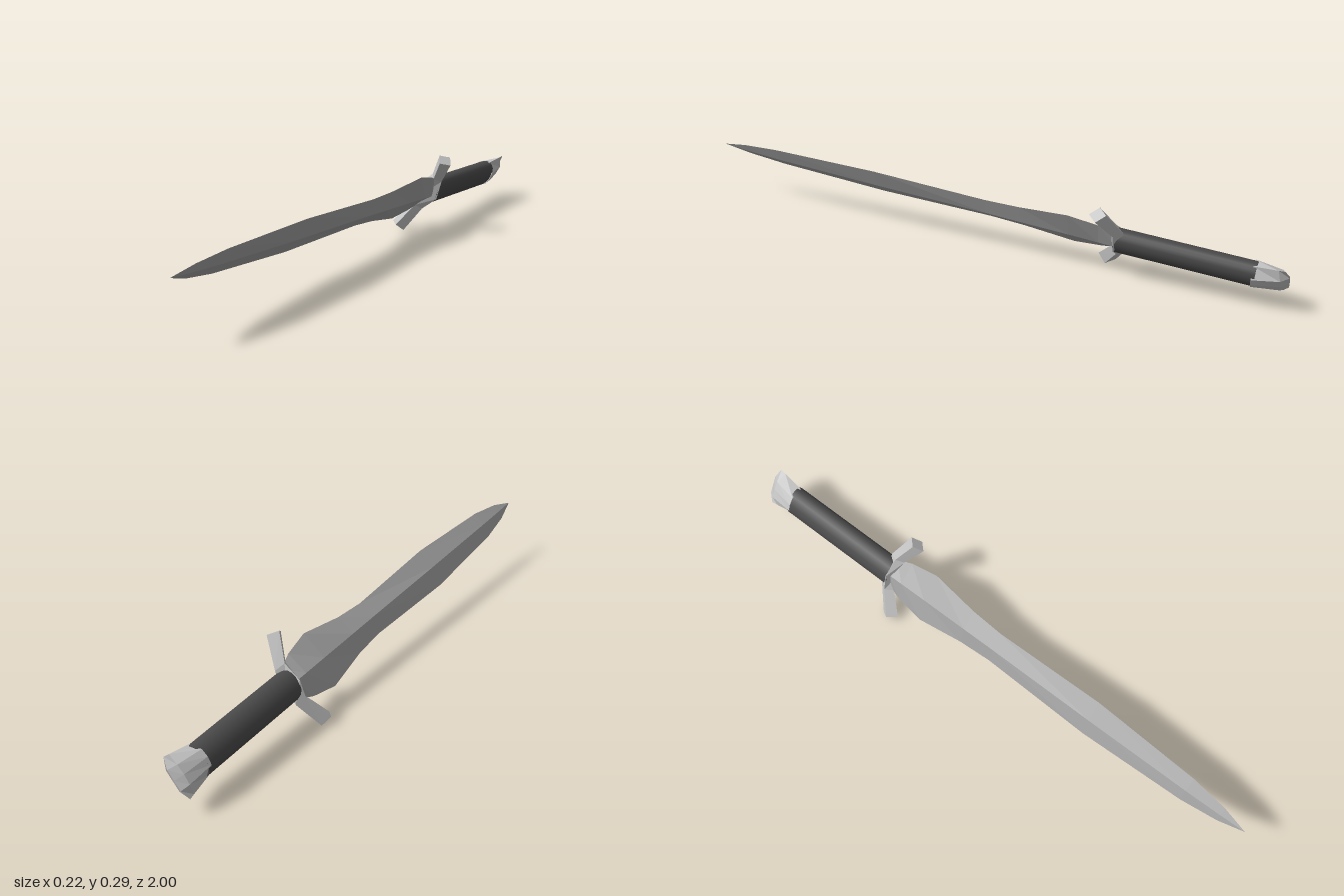
import * as THREE from 'three';

const steel = new THREE.MeshStandardMaterial({ color: 0xa4a4a4 });
steel.name = 'blade steel';
const silver = new THREE.MeshStandardMaterial({ color: 0xc2c2c2 });
silver.name = 'fittings silver';
const leather = new THREE.MeshStandardMaterial({ color: 0x4a4a4a });
leather.name = 'dark grip';

// Flat-shaded skin over rings of equal point count, closed at both ends
function loft(rings) {
  const pos = [];
  const tri = (a, b, c) => {
    const n = new THREE.Vector3().subVectors(b, a).cross(new THREE.Vector3().subVectors(c, a));
    if (n.length() > 1e-9) for (const p of [a, b, c]) pos.push(p.x, p.y, p.z);
  };
  const n = rings[0].length;
  for (let i = 0; i + 1 < rings.length; i++) {
    for (let j = 0; j < n; j++) {
      const k = (j + 1) % n;
      tri(rings[i][j], rings[i][k], rings[i + 1][k]);
      tri(rings[i][j], rings[i + 1][k], rings[i + 1][j]);
    }
  }
  const first = rings[0], last = rings[rings.length - 1];
  for (let j = 1; j + 1 < n; j++) {
    tri(first[0], first[j + 1], first[j]);
    tri(last[0], last[j], last[j + 1]);
  }
  const geo = new THREE.BufferGeometry();
  geo.setAttribute('position', new THREE.Float32BufferAttribute(pos, 3));
  geo.computeVertexNormals();
  return geo;
}

const V = (x, y, z) => new THREE.Vector3(x, y, z);

export function createModel() {
  const model = new THREE.Group();
  const sword = new THREE.Group();
  sword.name = 'sword';
  model.add(sword);
  const add = (name, geo, mat) => {
    const mesh = new THREE.Mesh(geo, mat);
    mesh.name = name;
    sword.add(mesh);
  };

  // Local frame: x = blade width, y = blade thickness, z = towards the tip
  // Leaf-shaped blade with a diamond section: [z, half width, half thickness]
  const blade = [
    [-0.445, 0.055, 0.026], [-0.39, 0.078, 0.025], [-0.29, 0.098, 0.023],
    [-0.12, 0.069, 0.021], [0, 0.06, 0.019], [0.4, 0.071, 0.017],
    [0.78, 0.05, 0.011], [0.91, 0.029, 0.006], [1, 0, 0],
  ];
  add('blade', loft(blade.map(([z, w, t]) => [V(w, 0, z), V(0, t, z), V(-w, 0, z), V(0, -t, z)])), steel);

  // Swept guard with a diamond section: [inner x, inner z, outer x, outer z, ridge x, ridge z, half thickness]
  const arm = [
    [0, -0.425, 0, -0.47, 0, -0.445, 0.044],
    [0.062, -0.418, 0.062, -0.473, 0.066, -0.443, 0.022],
    [0.148, -0.368, 0.166, -0.426, 0.157, -0.397, 0.027],
  ];
  const guardRing = (s) => ([ix, iz, ox, oz, rx, rz, t]) =>
    [V(s * rx, t, rz), V(s * ix, 0, iz), V(s * rx, -t, rz), V(s * ox, 0, oz)];
  const left = arm.map(guardRing(1));
  const right = arm.slice(1).map(guardRing(-1)).reverse();
  add('guard', loft([...right, ...left]), silver);

  // Oval grip
  const grip = new THREE.CylinderGeometry(1, 1, 0.455, 20);
  grip.rotateX(Math.PI / 2);
  grip.scale(0.052, 0.038, 1);
  grip.translate(0, 0, -0.67);
  add('grip', grip, leather);

  // Flared pommel narrowing to a bowed wedge: [corner z, middle z, half width, half thickness]
  const pommel = [
    [-0.985, -1, 0.071, 0.003], [-0.965, -0.975, 0.067, 0.024], [-0.887, -0.887, 0.053, 0.041],
  ];
  add('pommel', loft(pommel.map(([cz, mz, w, t]) => [
    V(w, 0, cz), V(w * 0.5, t * 0.88, mz), V(0, t, mz), V(-w * 0.5, t * 0.88, mz),
    V(-w, 0, cz), V(-w * 0.5, -t * 0.88, mz), V(0, -t, mz), V(w * 0.5, -t * 0.88, mz),
  ])), silver);

  // Resting pose: slightly rising and rolled about its length
  const axis = V(0.0375, 0.048, 1).normalize();
  const thick = axis.clone().cross(V(0.57, 0.82, 0)).normalize();
  const width = thick.clone().cross(axis);
  sword.quaternion.setFromRotationMatrix(new THREE.Matrix4().makeBasis(width, thick, axis));
  sword.updateMatrixWorld(true);

  // Centre on x and z and stand on the ground
  const box = new THREE.Box3().setFromObject(model, true);
  const c = box.getCenter(V(0, 0, 0));
  sword.position.set(-c.x, -box.min.y, -c.z);
  return model;
}
